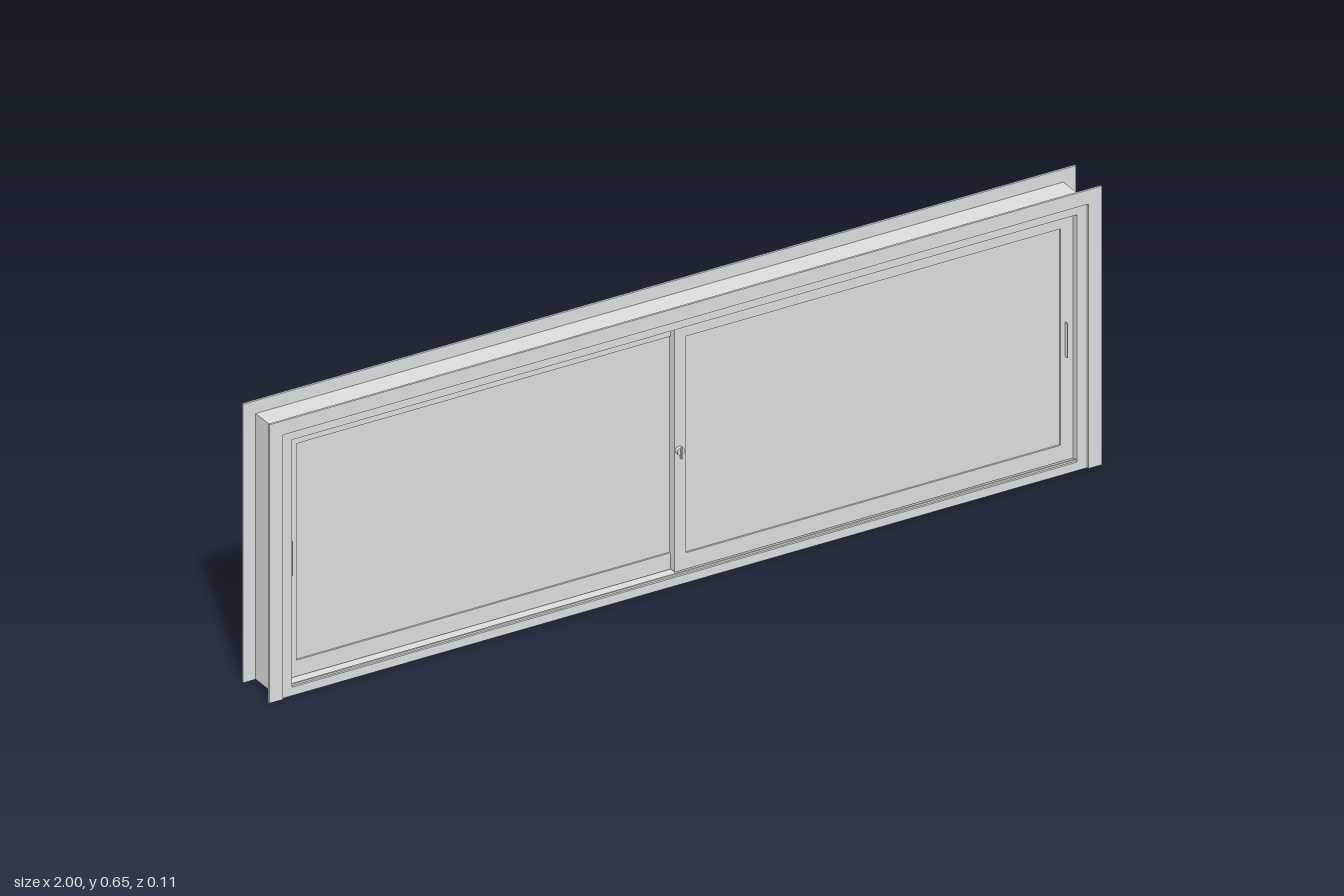
import * as THREE from 'three';

export function createModel() {
  const model = new THREE.Group();
  model.name = 'slidingWindow';

  const aluminium = new THREE.MeshStandardMaterial({ color: 0xd7e0de });
  aluminium.name = 'aluminium';
  const paleAluminium = new THREE.MeshStandardMaterial({ color: 0xd8dfe1 });
  paleAluminium.name = 'paleAluminium';
  const glass = new THREE.MeshStandardMaterial({ color: 0xd8dee1 });
  glass.name = 'glass';

  function add(parent, name, geometry, material = aluminium) {
    const mesh = new THREE.Mesh(geometry, material);
    mesh.name = name;
    parent.add(mesh);
    return mesh;
  }

  // Box given by its lower and upper limits
  function box(parent, name, [x0, x1], [y0, y1], [z0, z1], material) {
    const mesh = add(parent, name, new THREE.BoxGeometry(x1 - x0, y1 - y0, z1 - z0), material);
    mesh.position.set((x0 + x1) / 2, (y0 + y1) / 2, (z0 + z1) / 2);
    return mesh;
  }

  function polygon(points, Type = THREE.Shape) {
    return new Type(points.map(([x, y]) => new THREE.Vector2(x, y)));
  }

  function rectangle(x0, x1, y0, y1, Type) {
    return polygon([[x0, y0], [x1, y0], [x1, y1], [x0, y1]], Type);
  }

  // Rectangular ring extruded between two depths; second material is for its side walls
  function ring(parent, name, outer, inner, z0, z1, material) {
    const shape = rectangle(...outer);
    shape.holes.push(rectangle(...inner, THREE.Path));
    const geometry = new THREE.ExtrudeGeometry(shape, { depth: z1 - z0, bevelEnabled: false });
    add(parent, name, geometry, material).position.z = z0;
  }

  // Outer box frame with sill, head and jambs
  ring(model, 'outerFrame', [-0.97, 0.97, 0, 0.62], [-0.943, 0.943, 0.02, 0.597], -0.05, 0.05,
    [aluminium, paleAluminium]);

  // Mitred trim on both faces: two legs and a head
  const legShape = polygon([[0.967, 0], [1, 0], [1, 0.65], [0.967, 0.617]]);
  const mirroredLeg = polygon([[-0.967, 0], [-1, 0], [-1, 0.65], [-0.967, 0.617]]);
  const headShape = polygon([[-0.967, 0.617], [0.967, 0.617], [1, 0.65], [-1, 0.65]]);
  for (const [side, z] of [['front', 0.0495], ['back', -0.0545]]) {
    const trim = new THREE.Group();
    trim.name = side + 'Trim';
    for (const [name, shape] of [['leftLeg', legShape], ['rightLeg', mirroredLeg], ['head', headShape]]) {
      add(trim, name, new THREE.ExtrudeGeometry(shape, { depth: 0.005, bevelEnabled: false }));
    }
    trim.position.z = z;
    model.add(trim);
  }

  // Sliding sashes; the left one runs on the forward track
  function sash(name, x0, x1, glassX0, glassX1, z0, z1) {
    const group = new THREE.Group();
    group.name = name;
    ring(group, 'sashFrame', [x0, x1, 0.022, 0.596], [glassX0, glassX1, 0.06, 0.565], z0, z1);
    box(group, 'pane', [glassX0, glassX1], [0.06, 0.565], [z0 + 0.004, z1 - 0.004], glass);
    // Upright finger pull on the outer stile
    const pullX = x0 < -0.5 ? -0.928 : 0.924;
    box(group, 'fingerPull', [pullX - 0.001, pullX + 0.001], [0.265, 0.345], [z1 - 0.002, z1 + 0.01]);
    model.add(group);
  }
  sash('rightSash', -0.942, -0.001, -0.913, -0.015, -0.034, 0.018);
  sash('leftSash', -0.014, 0.942, 0.013, 0.913, -0.018, 0.034);

  // Track ridges along the sill
  for (const z of [-0.043, 0.043]) {
    box(model, 'sillTrack', [-0.943, 0.943], [0.019, 0.024], [z - 0.002, z + 0.002]);
  }

  // Small round lock on the meeting stile
  const lock = new THREE.Group();
  lock.name = 'lock';
  const barrel = add(lock, 'barrel', new THREE.CylinderGeometry(0.009, 0.009, 0.012, 20));
  barrel.rotation.x = Math.PI / 2;
  box(lock, 'thumbTurn', [-0.002, 0.002], [-0.016, 0.008], [0.005, 0.01]);
  lock.position.set(-0.004, 0.305, 0.037);
  model.add(lock);

  return model;
}
